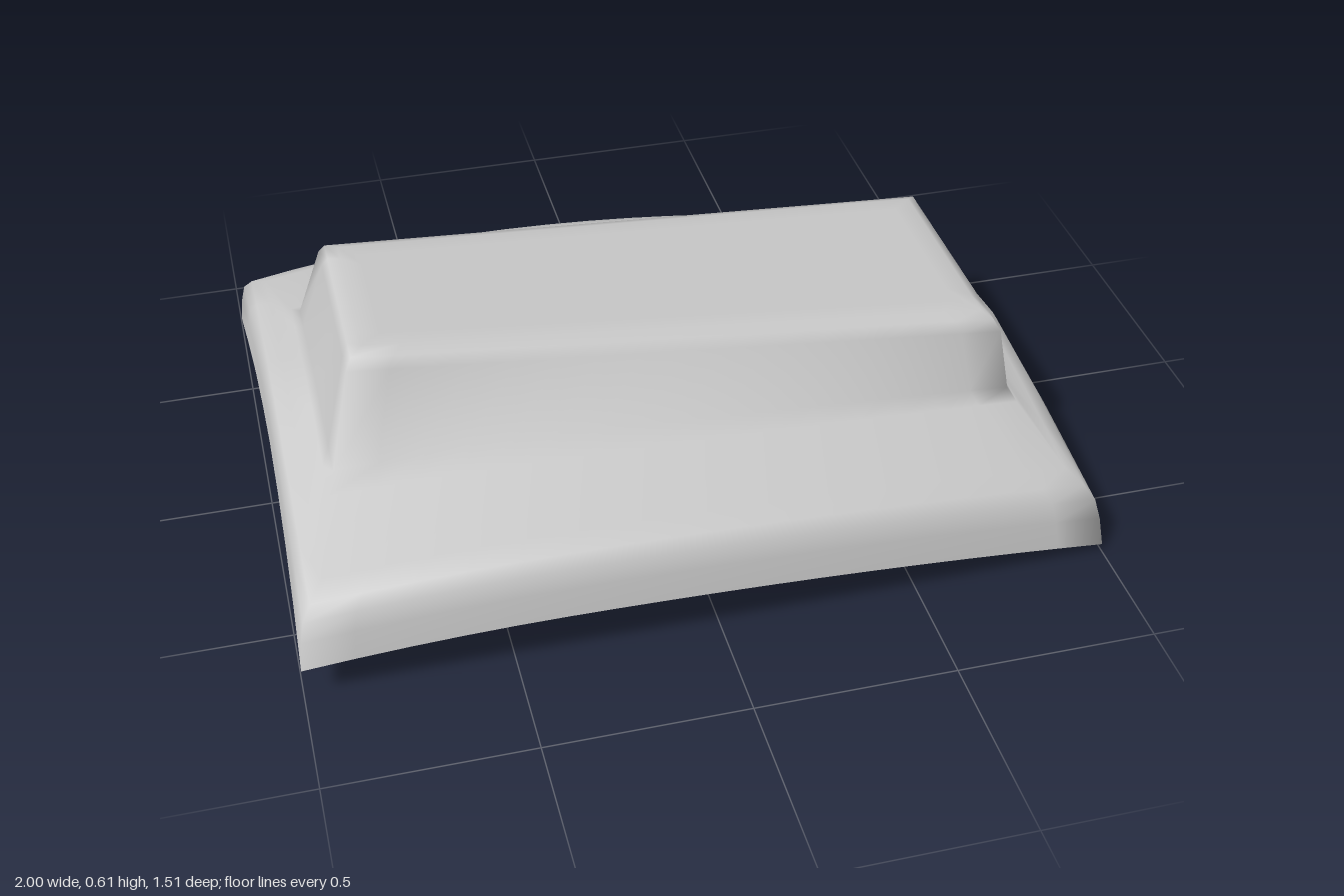
import * as THREE from 'three';

const NX = 16, NZ = 8; // segments along the long and short sides
const { lerp, clamp } = THREE.MathUtils;

// Arched ground line of the shell: bowed along x, ridged across z
function baseHeight(x, z) {
  const d = x + 0.35;
  const along = 0.14 - (d < 0 ? 0.118 : 0.0714) * d * d;
  const t = (x + 1) / 2;
  const v = clamp(Math.abs(z) / (lerp(0.73, 0.69, t) + 0.17 * t * (1 - t)), 0, 1);
  const crown = v < 0.53 ? lerp(0.11, 0.065, v / 0.53) : lerp(0.065, 0, (v - 0.53) / 0.47);
  return along + crown + 0.0145 * z;
}

// Sloping plane of the raised block's top
const topHeight = (x) => 0.551 - 0.0828 * x;

// Rings from the open rim to the top: ends in x, half widths at both ends,
// side bulge, inward bow of the ends, height above the base or below the top
const rings = [
  { x: [-1, 1], z: [0.73, 0.69], bulge: 0.043, bow: 0.015, lift: 0 },
  { x: [-0.992, 0.99], z: [0.718, 0.675], bulge: 0.043, bow: 0.012, lift: 0.07 },
  { x: [-0.982, 0.978], z: [0.705, 0.66], bulge: 0.043, bow: 0.008, lift: 0.115 },
  { x: [-0.96, 0.955], z: [0.68, 0.635], bulge: 0.043, bow: 0, lift: 0.138 },
  { x: [-0.925, 0.92], z: [0.63, 0.59], bulge: 0.043, bow: 0, lift: 0.15 },
  { x: [-0.875, 0.875], z: [0.4, 0.37], bulge: 0.05, bow: 0, lift: 0.152 },
  { x: [-0.855, 0.86], z: [0.345, 0.337], bulge: 0.045, bow: 0, lift: 0.17 },
  { x: [-0.795, 0.835], z: [0.262, 0.313], bulge: 0, bow: 0, drop: 0.04 },
  { x: [-0.78, 0.82], z: [0.245, 0.297], bulge: 0, bow: 0, drop: 0.012 },
  { x: [-0.75, 0.795], z: [0.215, 0.268], bulge: 0, bow: 0, drop: 0 },
  { x: [-0.7, 0.74], z: [0.17, 0.22], bulge: 0, bow: 0, drop: 0 },
];

// Perimeter of a unit rectangle, front side first, counter-clockwise from above
function perimeter() {
  const p = [];
  for (let i = 0; i < NX; i++) p.push([i / NX, 1]);
  for (let i = 0; i < NZ; i++) p.push([1, 1 - (2 * i) / NZ]);
  for (let i = 0; i < NX; i++) p.push([1 - i / NX, -1]);
  for (let i = 0; i < NZ; i++) p.push([0, -1 + (2 * i) / NZ]);
  return p;
}

function shellGeometry() {
  const outline = perimeter(), n = outline.length;
  const pos = [], index = [];
  for (const r of rings) {
    for (const [t, v] of outline) {
      const z = v * (lerp(r.z[0], r.z[1], t) + r.bulge * 4 * t * (1 - t));
      const x = lerp(r.x[0], r.x[1], t) - r.bow * (2 * t - 1) * (1 - v * v);
      const y = r.drop === undefined ? baseHeight(x, z) + r.lift : topHeight(x) - r.drop;
      pos.push(x, y, z);
    }
  }
  // Bands between neighbouring rings
  for (let k = 0; k < rings.length - 1; k++) {
    for (let i = 0; i < n; i++) {
      const a = k * n + i, b = k * n + ((i + 1) % n);
      index.push(a, b, b + n, a, b + n, a + n);
    }
  }
  // Close the flat top
  const last = (rings.length - 1) * n, centre = rings.length * n;
  pos.push(0, topHeight(0), 0);
  for (let i = 0; i < n; i++) index.push(last + i, last + ((i + 1) % n), centre);

  const g = new THREE.BufferGeometry();
  g.setAttribute('position', new THREE.Float32BufferAttribute(pos, 3));
  g.setIndex(index);
  g.computeVertexNormals();
  return g;
}

export function createModel() {
  const group = new THREE.Group();
  group.name = 'curvedCover';
  // Thin shell, open underneath
  const material = new THREE.MeshStandardMaterial({ color: 0xcccccc, side: THREE.DoubleSide });
  const shell = new THREE.Mesh(shellGeometry(), material);
  shell.name = 'raisedShell';
  group.add(shell);
  return group;
}
